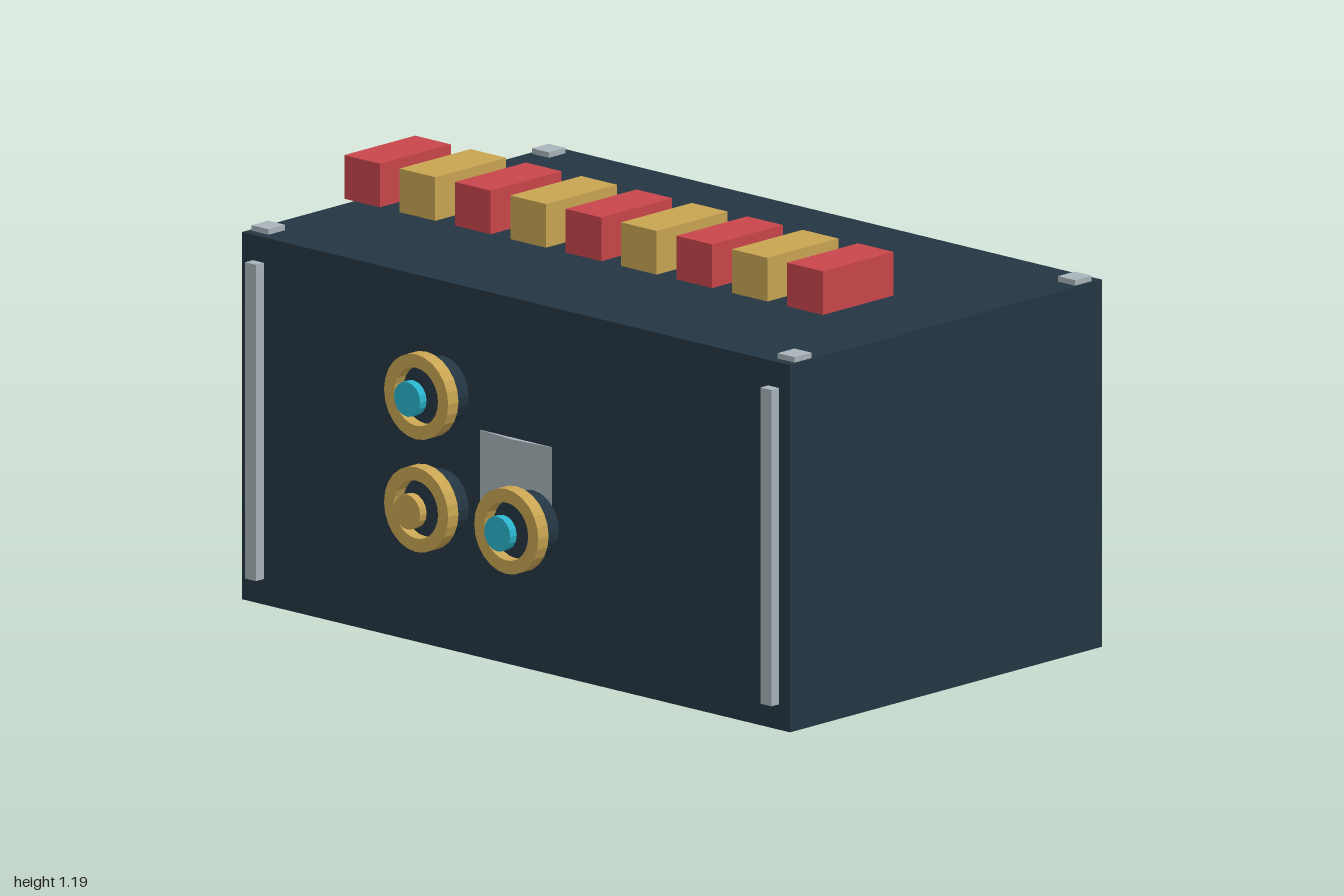
import * as THREE from 'three';

const mat = (name, color, opts = {}) => {
  const m = new THREE.MeshStandardMaterial({ color, ...opts });
  m.name = name;
  return m;
};

export function createModel() {
  const navy = mat('dark navy', 0x243643);
  const gold = mat('gold', 0xc9a552);
  const red = mat('red', 0xc9464b);
  const cyan = mat('cyan', 0x2ab4cc);
  const silver = mat('silver', 0xa8b4ba);
  for (const m of [navy, gold, red, cyan, silver]) m.flatShading = true;

  const model = new THREE.Group();
  model.name = 'consoleBox';

  const add = (parent, name, geometry, material, x, y, z) => {
    const mesh = new THREE.Mesh(geometry, material);
    mesh.name = name;
    mesh.position.set(x, y, z);
    parent.add(mesh);
    return mesh;
  };
  // Cylinder whose axis points to the front
  const disc = (r, depth, sides) => new THREE.CylinderGeometry(r, r, depth, sides).rotateX(Math.PI / 2);

  // Main case
  add(model, 'case', new THREE.BoxGeometry(2, 1.01, 1.21), navy, 0, 0.505, -0.115);

  // Inner drum, bulging slightly through the front and back walls
  add(model, 'drum', new THREE.CylinderGeometry(0.62, 0.62, 0.235, 32), silver, 0, 0.508, -0.115);

  // Front trim strips and top corner plates
  for (const side of [-1, 1]) {
    add(model, 'trimStrip', new THREE.BoxGeometry(0.04, 0.87, 0.03), silver, side * 0.94, 0.505, 0.505);
    for (const z of [-0.657, 0.43]) {
      add(model, 'cornerPlate', new THREE.BoxGeometry(0.062, 0.02, 0.065), silver, side * 0.96, 1.015, z);
    }
  }

  // Row of alternating keys hovering over the top
  for (let i = 0; i < 9; i++) {
    add(model, 'key', new THREE.BoxGeometry(0.13, 0.12, 0.275), i % 2 ? gold : red,
      -0.818 + i * 0.202, 1.13, 0.08);
  }

  // Dials: dark barrel, gold rim, small centre cap
  const rimProfile = [[0.08, -0.02], [0.117, -0.02], [0.117, 0.02], [0.08, 0.02], [0.08, -0.02]]
    .map(([r, h]) => new THREE.Vector2(r, h));
  const dials = [[-0.167, 0.75, cyan], [-0.167, 0.44, gold], [0.162, 0.44, cyan]];
  for (const [x, y, capColor] of dials) {
    const dial = new THREE.Group();
    dial.name = 'dial';
    dial.position.set(x, y, 0);
    model.add(dial);
    add(dial, 'barrel', disc(0.093, 0.07, 20), navy, 0, 0, 0.63);
    add(dial, 'rim', new THREE.LatheGeometry(rimProfile, 24).rotateX(Math.PI / 2), gold, 0, 0, 0.68);
    add(dial, 'cap', disc(0.048, 0.025, 16), capColor, 0, 0, 0.7225);
  }
  return model;
}
